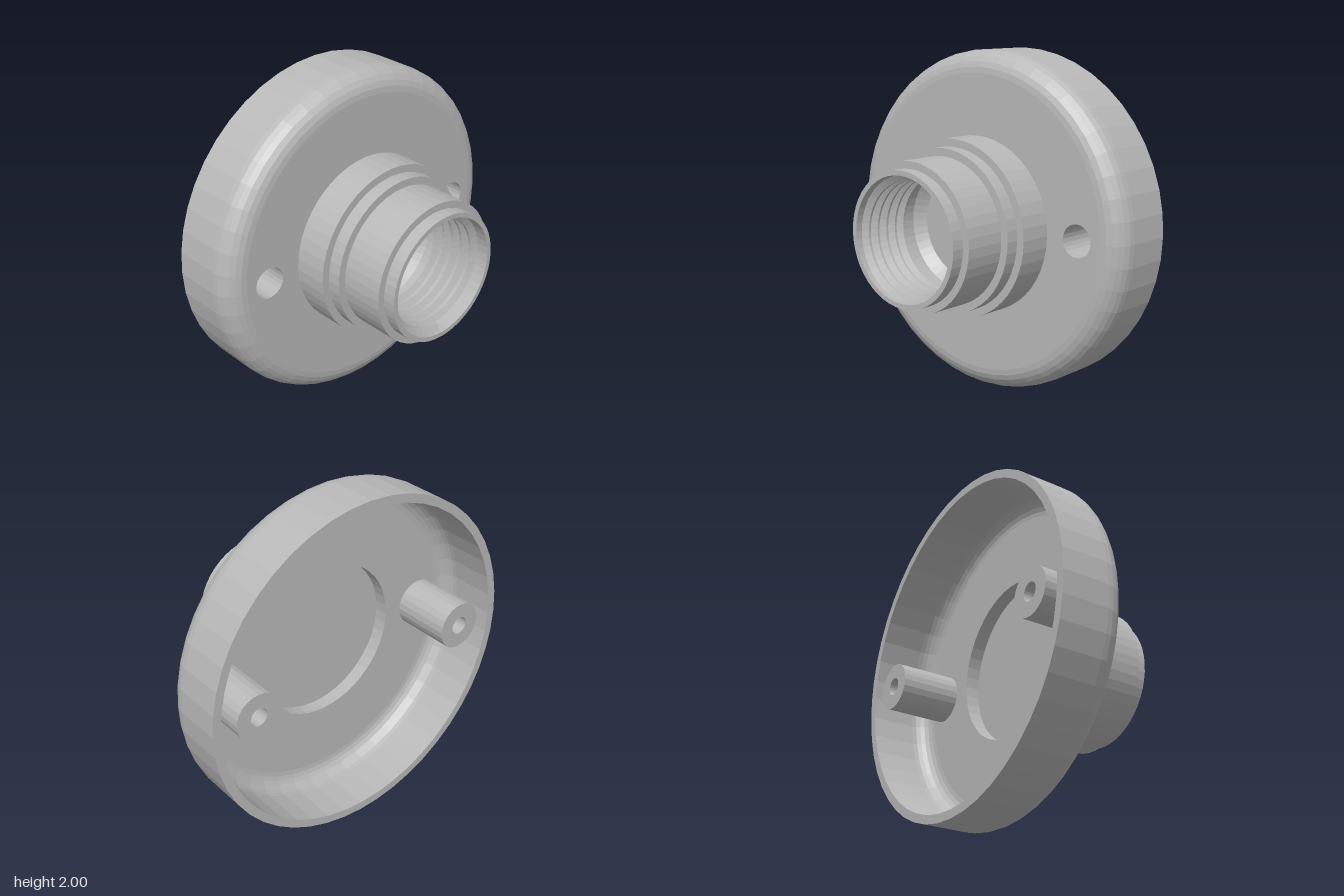
import * as THREE from 'three';

const SIDES = 48;

// Turn a [radius, z] profile around the z axis (rising z = outward facing)
function turned(profile, sides) {
  const geo = new THREE.LatheGeometry(profile.map(([r, z]) => new THREE.Vector2(r, z)), sides);
  return geo.rotateX(Math.PI / 2);
}

function circle(radius, sides, cx = 0) {
  return Array.from({ length: sides }, (_, i) => {
    const a = (i / sides) * Math.PI * 2;
    return new THREE.Vector2(cx + Math.cos(a) * radius, Math.sin(a) * radius);
  });
}

// Quarter-round [radius, z] points
function fillet(cr, cz, radius, from, to, steps = 6) {
  return Array.from({ length: steps + 1 }, (_, i) => {
    const a = from + ((to - from) * i) / steps;
    return [cr + Math.cos(a) * radius, cz + Math.sin(a) * radius];
  });
}

export function createModel() {
  const grey = new THREE.MeshStandardMaterial({ color: 0xb8b8b8, flatShading: true });
  grey.name = 'plain grey';

  const model = new THREE.Group();
  model.name = 'threadedSocket';
  const add = (name, geo, x = 0, z = 0) => {
    const mesh = new THREE.Mesh(geo, grey);
    mesh.name = name;
    mesh.position.set(x, 1, z);
    model.add(mesh);
    return mesh;
  };

  const FRONT = -0.105, INNER = -0.158, BACK = -0.515;
  const POST_X = 0.715, BORE = 0.093, SCREW = 0.053;

  // Hollow dish wall with rounded front edge
  add('dishWall', turned([
    ...fillet(0.85, INNER - 0.1, 0.1, Math.PI / 2, 0),
    [0.95, BACK], [1, BACK],
    ...fillet(0.87, FRONT - 0.13, 0.13, 0, Math.PI / 2),
  ], SIDES));

  // Front and inner faces of the dish, pierced by the screw bores
  const plate = (radius, extraHole) => {
    const shape = new THREE.Shape(circle(radius, SIDES));
    for (const s of [-1, 1]) shape.holes.push(new THREE.Path(circle(BORE, 24, s * POST_X)));
    shape.holes.push(new THREE.Path(circle(extraHole, SIDES)));
    return new THREE.ShapeGeometry(shape);
  };
  add('frontFace', plate(0.87, 0.5), 0, FRONT);
  add('innerFace', plate(0.85, 0.467).rotateY(Math.PI), 0, INNER);

  // Shallow round recess behind the socket
  add('backRecess', turned([[0, -0.075], [0.467, -0.075], [0.467, INNER]], SIDES));

  // Stepped socket with its round cavity
  add('socket', turned([
    [0.515, FRONT - 0.01], [0.515, 0.1], [0.47, 0.1], [0.47, 0.18],
    [0.425, 0.18], [0.425, 0.44], [0.383, 0.44], [0.383, 0.515],
    [0.355, 0.515], [0.355, 0.06], [0.32, 0.02], [0.3, 0], [0, 0],
  ], SIDES));

  // Helical inner thread: a ridged tube sheared one pitch per turn
  const PITCH = 0.068, profile = [];
  for (let i = 0; i < 5; i++) {
    const z = 0.425 - i * PITCH;
    profile.push([0.352, z], [0.317, z - 0.022], [0.317, z - 0.036], [0.352, z - 0.058]);
  }
  const thread = turned(profile, SIDES);
  const pos = thread.attributes.position;
  for (let k = 0; k < pos.count; k++) {
    const turn = Math.floor(k / profile.length) / SIDES;
    pos.setZ(k, pos.getZ(k) + PITCH * turn);
  }
  thread.computeVertexNormals();
  add('innerThread', thread);

  // Screw posts with counterbored through holes
  for (const s of [-1, 1]) {
    add(s > 0 ? 'leftScrewPost' : 'rightScrewPost', turned([
      [BORE, FRONT], [BORE, -0.42], [SCREW, -0.42], [SCREW, BACK],
      [0.14, BACK], [0.14, INNER],
    ], 24), s * POST_X);
  }
  return model;
}
